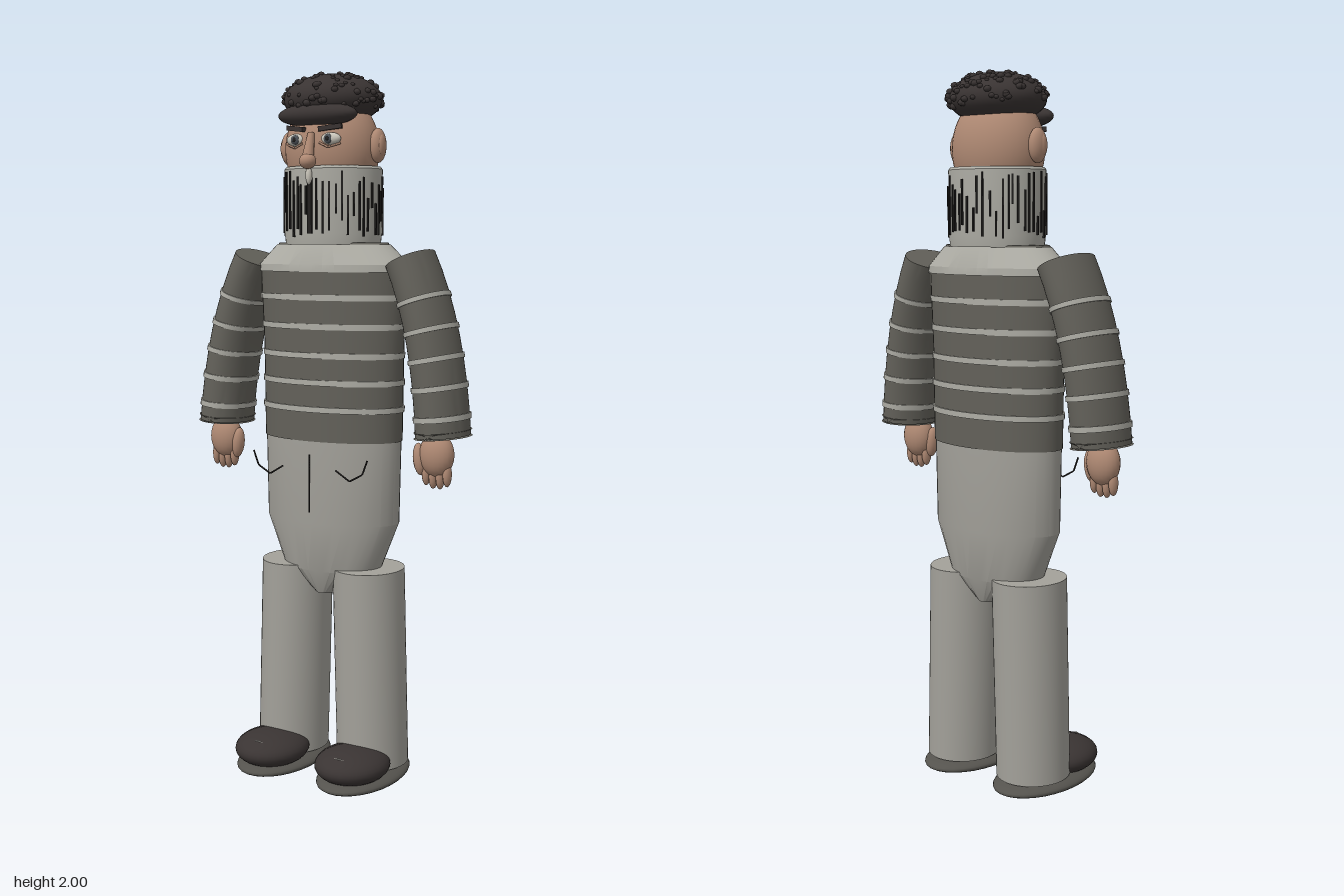
import * as THREE from 'three';
import { toCreasedNormals } from 'three/addons/utils/BufferGeometryUtils.js';

const mat = (name, color) => Object.assign(new THREE.MeshStandardMaterial({ color }), { name });

// Skin through elliptical sections ordered upward: [x, y, z, rx, rz, tilt]
function loft(sections, sides = 40) {
  const pos = [], idx = [];
  const ring = ([x, y, z, rx, rz, tilt = 0]) => {
    for (let i = 0; i < sides; i++) {
      const a = i / sides * Math.PI * 2, c = rx * Math.cos(a);
      pos.push(x + c * Math.cos(tilt), y + c * Math.sin(tilt), z + rz * Math.sin(a));
    }
  };
  sections.forEach(ring);
  const n = sections.length;
  const bottom = pos.length / 3, top = bottom + 1;
  pos.push(...sections[0].slice(0, 3), ...sections[n - 1].slice(0, 3));
  for (let i = 0; i < sides; i++) {
    const j = (i + 1) % sides;
    for (let k = 0; k < n - 1; k++) {
      const b = k * sides, t = b + sides;
      idx.push(b + i, t + i, b + j, b + j, t + i, t + j);
    }
    const t = (n - 1) * sides;
    idx.push(bottom, i, j, top, t + j, t + i);
  }
  const g = new THREE.BufferGeometry();
  g.setAttribute('position', new THREE.Float32BufferAttribute(pos, 3));
  g.setIndex(idx);
  return toCreasedNormals(g, 0.35);
}

export function createModel() {
  const model = new THREE.Group();
  const skin = mat('skin', 0xb08a74), dark = mat('capCharcoal', 0x3a3433);
  const wool = mat('sweaterGrey', 0x63615a), pale = mat('stripeGrey', 0xaeada5);
  const cloth = mat('trouserGrey', 0xa3a19a), ink = mat('seamBlack', 0x22201f);
  const white = mat('eyeWhite', 0xc9c5ba), iris = mat('irisGrey', 0x4d5258);
  const sole = mat('soleGrey', 0x55534e);

  const add = (name, geo, material, parent = model) => {
    const m = new THREE.Mesh(geo, material);
    m.name = name;
    parent.add(m);
    return m;
  };
  const ball = (name, material, p, r, seg = 24, parent = model) => {
    const m = add(name, new THREE.SphereGeometry(1, seg, Math.max(6, seg * 0.67 | 0)), material, parent);
    m.position.set(...p);
    m.scale.set(...r);
    return m;
  };
  const line = (name, pts, r = 0.0025, material = ink) => {
    const path = new THREE.CurvePath();
    for (let i = 1; i < pts.length; i++)
      path.add(new THREE.LineCurve3(new THREE.Vector3(...pts[i - 1]), new THREE.Vector3(...pts[i])));
    return add(name, new THREE.TubeGeometry(path, 24, r, 5), material);
  };
  let seed = 7;
  const rnd = () => (seed = (seed * 16807) % 2147483647) / 2147483647;
  const Z = -0.05;

  // Sweater body, pale yoke and stripes
  add('sweaterBody', loft([[0, 0.985, Z, 0.216, 0.12], [0, 1.25, Z, 0.219, 0.121], [0, 1.46, Z, 0.23, 0.122]]), wool);
  add('yoke', loft([[0, 1.455, Z, 0.236, 0.125], [0, 1.475, Z, 0.234, 0.124], [0, 1.53, Z, 0.175, 0.102]]), pale);
  add('neckOpening', loft([[0, 1.529, Z, 0.172, 0.1], [0, 1.535, Z, 0.168, 0.098]]), wool);
  for (const y of [1.075, 1.15, 1.225, 1.305, 1.385]) {
    const rx = 0.219 + Math.max(0, y - 1.25) * 0.055;
    add('bodyStripe', loft([[0, y - 0.008, Z, rx + 0.002, 0.1245], [0, y + 0.008, Z, rx + 0.003, 0.1245]]), pale);
  }

  // Roll collar with knitted ribs
  add('collar', loft([[0, 1.53, Z, 0.138, 0.118], [0, 1.56, Z, 0.141, 0.122], [0, 1.735, Z, 0.142, 0.123], [0, 1.742, Z, 0.137, 0.118]]), pale);
  const ribs = new THREE.Group();
  ribs.name = 'collarRibs';
  model.add(ribs);
  for (let i = 0; i < 52; i++) {
    const a = (i + rnd() * 0.5) / 52 * Math.PI * 2;
    const h = 0.05 + rnd() * 0.12, y = 1.73 - h / 2 - rnd() * (0.18 - h);
    const rib = add('collarRib', new THREE.BoxGeometry(0.005, h, 0.006), ink, ribs);
    rib.position.set(0.142 * Math.sin(a), y, Z + 0.123 * Math.cos(a));
    rib.rotation.y = Math.atan2(Math.sin(a) / 0.142, Math.cos(a) / 0.123);
  }
  add('collarFrontSeam', new THREE.BoxGeometry(0.014, 0.15, 0.008), ink).position.set(0, 1.635, 0.075);
  ball('collarPull', white, [0, 1.715, 0.08], [0.009, 0.025, 0.009], 12);

  // Head, nose and cap
  ball('head', skin, [0, 1.79, -0.045], [0.137, 0.155, 0.114], 36);
  const bridge = add('noseBridge', new THREE.CylinderGeometry(0.009, 0.018, 0.08, 14), skin);
  bridge.position.set(0, 1.79, 0.077);
  bridge.rotation.x = -0.25;
  ball('noseTip', skin, [0, 1.753, 0.086], [0.024, 0.021, 0.023], 18);
  ball('capCrown', dark, [0, 1.925, Z + 0.002], [0.14, 0.07, 0.126], 36);
  ball('capBrim', dark, [0, 1.879, 0.035], [0.123, 0.033, 0.048], 28);
  const curls = new THREE.Group();
  curls.name = 'capCurls';
  model.add(curls);
  for (let i = 0; i < 150; i++) {
    const v = -0.35 + 1.33 * rnd(), a = rnd() * Math.PI * 2, q = Math.sqrt(1 - v * v);
    const r = 0.006 + rnd() * 0.006;
    ball('curl', dark, [0.139 * q * Math.cos(a), 1.925 + 0.069 * v, Z + 0.002 + 0.125 * q * Math.sin(a)], [r, r * 0.8, r], 8, curls);
  }

  // Sleeve section at t, from cuff (0) to shoulder (1)
  const sleevePath = new THREE.QuadraticBezierCurve(
    new THREE.Vector2(0.357, 1.015), new THREE.Vector2(0.338, 1.3), new THREE.Vector2(0.245, 1.49));
  const sleeveAt = (s, t, grow = 0) => {
    const p = sleevePath.getPoint(t), d = sleevePath.getTangent(t);
    return [s * p.x, p.y, -0.035 - 0.015 * t, 0.071 - 0.009 * t + grow, 0.095 + 0.004 * t + grow, Math.atan2(-s * d.x, d.y)];
  };

  for (const s of [1, -1]) {
    const side = s > 0 ? 'left' : 'right';

    // Face details
    ball(side + 'Ear', skin, [s * 0.143, 1.797, -0.048], [0.021, 0.047, 0.03], 20);
    ball(side + 'InnerEar', skin, [s * 0.156, 1.797, -0.043], [0.01, 0.03, 0.016], 14);
    ball(side + 'Eye', white, [s * 0.054, 1.812, 0.055], [0.031, 0.017, 0.015], 20);
    ball(side + 'Iris', iris, [s * 0.052, 1.812, 0.066], [0.013, 0.013, 0.007], 16);
    ball(side + 'Pupil', ink, [s * 0.052, 1.812, 0.071], [0.006, 0.006, 0.004], 12);
    line(side + 'EyeBag', [[s * 0.026, 1.802, 0.068], [s * 0.052, 1.79, 0.067], [s * 0.084, 1.8, 0.052]], 0.003, skin);
    const brow = add(side + 'Eyebrow', new THREE.BoxGeometry(0.065, 0.013, 0.014), dark);
    brow.position.set(s * 0.054, 1.842, 0.058);
    brow.rotation.set(0, s * 0.3, s * 0.12);

    // Sleeve with raised stripes and cuff
    const arm = new THREE.Group();
    arm.name = side + 'Arm';
    model.add(arm);
    add('sleeve', loft([0, 0.12, 0.25, 0.38, 0.5, 0.62, 0.75, 0.88, 1].map(t => sleeveAt(s, t))), wool, arm);
    for (const t of [0.09, 0.24, 0.39, 0.55, 0.73])
      add('sleeveStripe', loft([sleeveAt(s, t - 0.014, 0.004), sleeveAt(s, t + 0.014, 0.004)]), pale, arm);
    add('cuff', loft([sleeveAt(s, -0.005, 0.004), sleeveAt(s, 0.025, 0.004)]), wool, arm);

    // Hand
    ball('palm', skin, [s * 0.348, 0.965, -0.016], [0.05, 0.062, 0.038], 22, arm);
    for (let i = 0; i < 4; i++)
      ball('finger', skin, [s * (0.318 + i * 0.021), 0.912 - (i % 3 ? 0.008 : 0), -0.014], [0.012, 0.034, 0.016], 12, arm);
    const thumb = ball('thumb', skin, [s * 0.3, 0.95, -0.008], [0.018, 0.045, 0.02], 14, arm);
    thumb.rotation.z = s * 0.12;

    // Trouser leg and pocket seam
    add(side + 'Leg', loft([[s * 0.135, 0.05, Z, 0.102, 0.108], [s * 0.119, 0.618, Z, 0.1, 0.112]]), cloth);
    line(side + 'PocketSeam', [[s * 0.186, 0.948, 0.08], [s * 0.17, 0.907, 0.08], [s * 0.13, 0.885, 0.08], [s * 0.085, 0.912, 0.08]]);

    // Shoe
    ball(side + 'Sole', sole, [s * 0.135, 0.027, 0.003], [0.114, 0.027, 0.186], 30);
    ball(side + 'Shoe', dark, [s * 0.135, 0.073, 0.068], [0.105, 0.05, 0.117], 28);
    line(side + 'ShoeLace', [[s * 0.1, 0.104, 0.143], [s * 0.135, 0.111, 0.146], [s * 0.168, 0.104, 0.143]], 0.002, pale);
  }

  // Trouser seat and fly
  add('trouserSeat', loft([[0, 0.54, Z, 0.038, 0.07], [0, 0.61, Z, 0.15, 0.1], [0, 0.75, Z, 0.208, 0.116], [0, 0.99, Z, 0.213, 0.117]]), cloth);
  line('flySeam', [[0, 0.95, 0.08], [0, 0.785, 0.08]]);

  return model;
}
